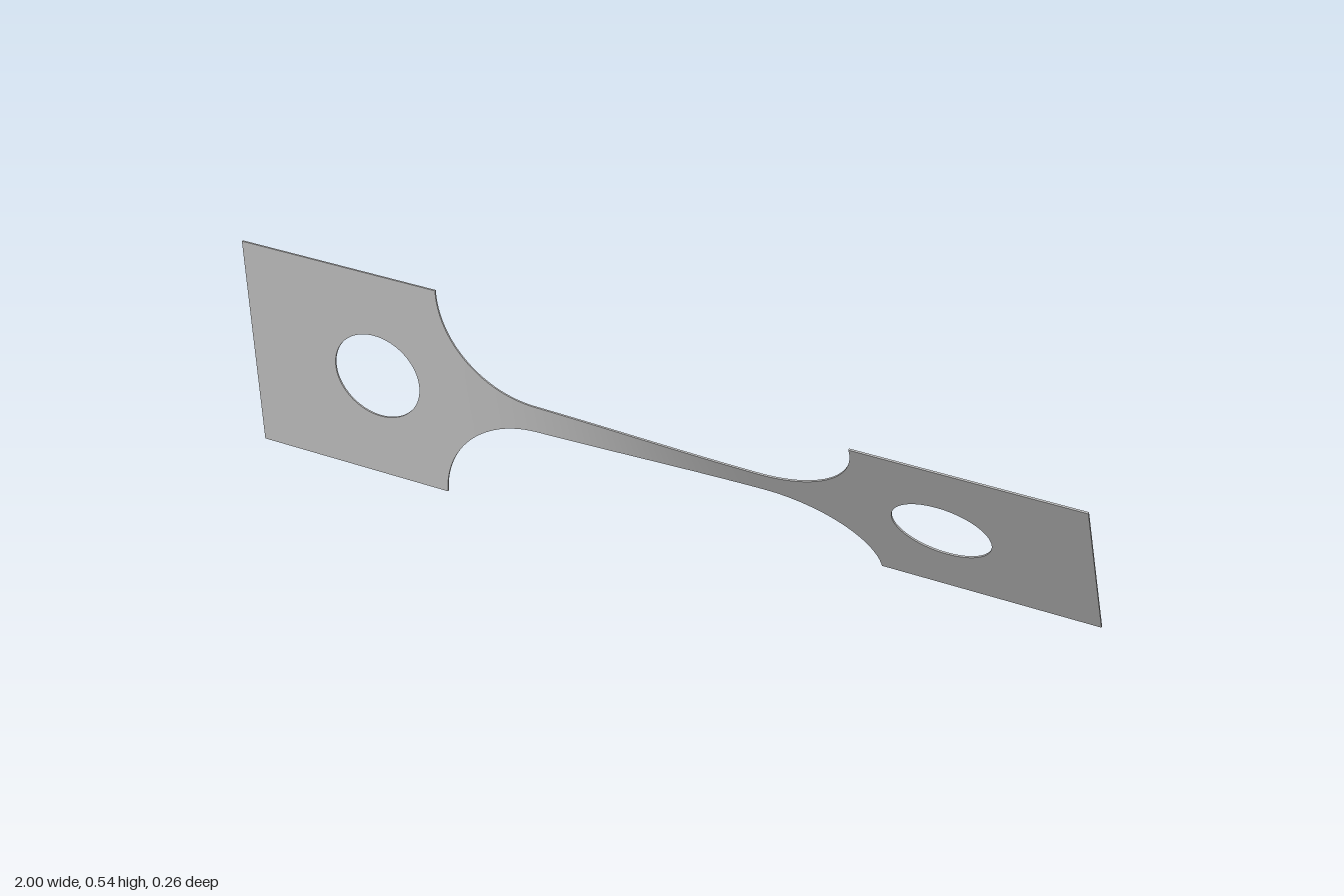
import * as THREE from 'three';

const HALF = 0.271;      // half height of the end plates
const R = 0.236;         // fillet radius
const NECK = 0.27;       // half length of the straight neck
const THICK = 0.004;
const SHOULDER = NECK + R;

// Twist about the long axis, growing along the neck
const twist = (x) => 0.012 + 0.49 * THREE.MathUtils.smoothstep(x, -0.45, 0.3);

function endPlate(side, material) {
  const shape = new THREE.Shape();
  shape.moveTo(SHOULDER, -HALF);
  shape.lineTo(1, -HALF);
  shape.lineTo(1, HALF);
  shape.lineTo(SHOULDER, HALF);
  shape.closePath();
  const hole = new THREE.Path();
  hole.absarc(0.672, 0, 0.109, 0, Math.PI * 2, true);
  shape.holes.push(hole);
  const geo = new THREE.ExtrudeGeometry(shape, { depth: THICK, bevelEnabled: false, curveSegments: 32 });
  geo.translate(0, 0, -THICK / 2);
  if (side < 0) geo.rotateY(Math.PI);
  geo.rotateX(twist(side));
  return new THREE.Mesh(geo, material);
}

function twistedNeck(material) {
  const geo = new THREE.BoxGeometry(2, 2, THICK, 96, 6, 1);
  // Drop the two end caps, which are hidden against the plates
  const start = geo.groups[2].start;
  geo.setIndex(Array.from(geo.index.array.slice(start)));
  geo.clearGroups();
  const pos = geo.attributes.position;
  const p = new THREE.Vector3();
  const axis = new THREE.Vector3(1, 0, 0);
  for (let i = 0; i < pos.count; i++) {
    p.fromBufferAttribute(pos, i);
    // Middle half is straight, outer quarters follow the fillet arcs
    const t = Math.abs(p.x);
    const a = Math.max(0, t - 0.5) * Math.PI;
    const x = Math.sign(p.x) * (Math.min(t, 0.5) * 2 * NECK + R * Math.sin(a));
    p.set(x, p.y * (HALF - R * Math.cos(a)), p.z);
    p.applyAxisAngle(axis, twist(x));
    pos.setXYZ(i, p.x, p.y, p.z);
  }
  geo.computeVertexNormals();
  return new THREE.Mesh(geo, material);
}

export function createModel() {
  const metal = new THREE.MeshStandardMaterial({ color: 0xb4b4b4 });
  metal.name = 'grey metal';
  const model = new THREE.Group();
  model.name = 'twistedStrip';
  const neck = twistedNeck(metal);
  neck.name = 'neck';
  const left = endPlate(1, metal);
  left.name = 'leftEndPlate';
  const right = endPlate(-1, metal);
  right.name = 'rightEndPlate';
  model.add(neck, left, right);
  for (const part of model.children) part.position.y = HALF;
  return model;
}
